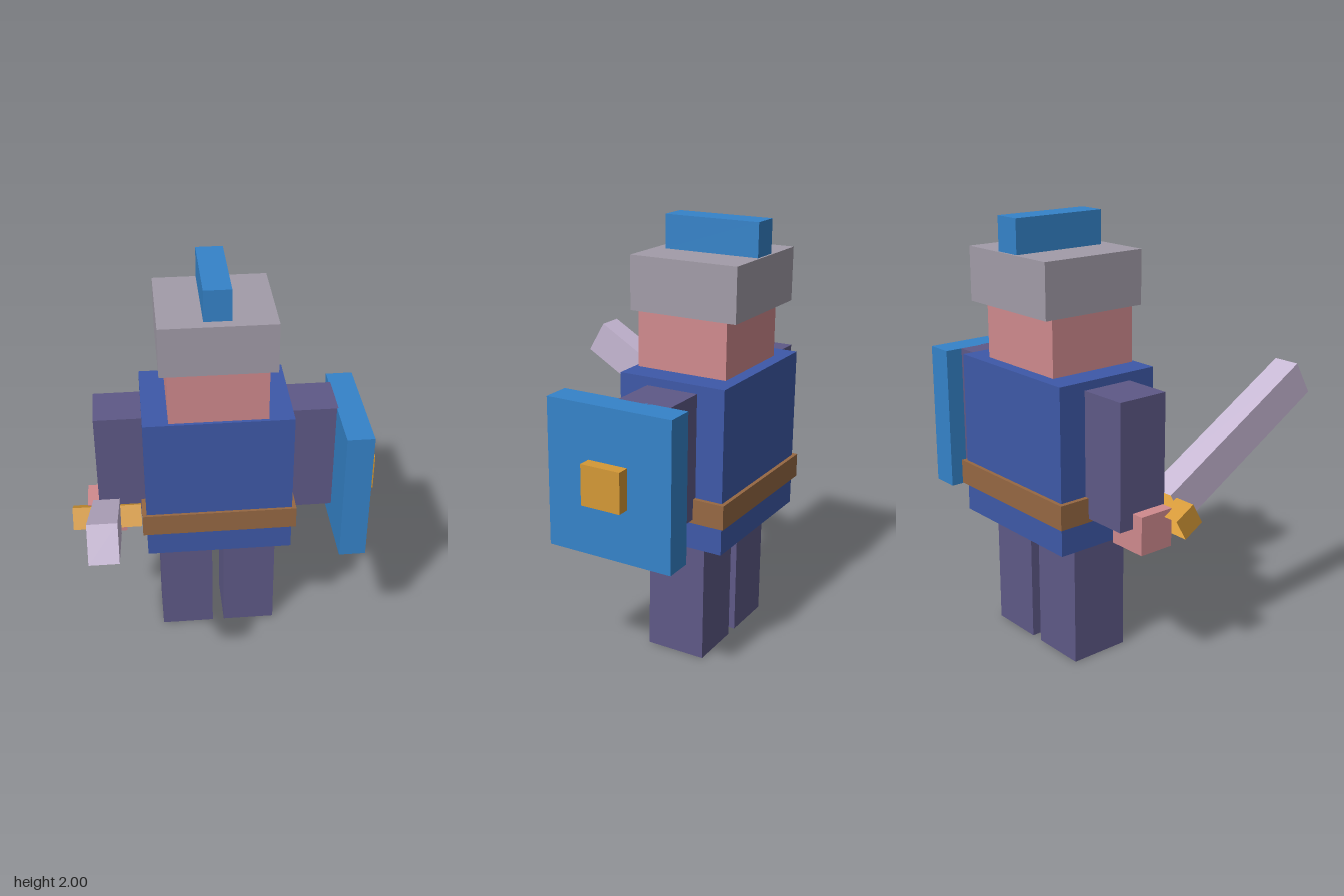
import * as THREE from 'three';

const mat = (name, color) => {
  const m = new THREE.MeshStandardMaterial({ color, side: THREE.DoubleSide });
  m.name = name;
  return m;
};

// Hollow block with no underside, given by its ranges [min, max] on each axis
function block(name, material, [x0, x1], [y0, y1], [z0, z1]) {
  const geo = new THREE.BoxGeometry(x1 - x0, y1 - y0, z1 - z0);
  const index = Array.from(geo.index.array);
  index.splice(18, 6); // drop the -y face
  geo.setIndex(index);
  geo.clearGroups();
  const mesh = new THREE.Mesh(geo, material);
  mesh.name = name;
  mesh.position.set((x0 + x1) / 2, (y0 + y1) / 2, (z0 + z1) / 2);
  return mesh;
}

export function createModel() {
  const tunic = mat('tunicBlue', 0x3e59a8);
  const cloth = mat('clothPurple', 0x5e5987);
  const skin = mat('skinPink', 0xd08a8e);
  const steel = mat('helmetGrey', 0xa29ca8);
  const bright = mat('brightBlue', 0x3583c9);
  const leather = mat('leatherBrown', 0x966843);
  const gold = mat('gold', 0xd49836);
  const blade = mat('bladeLavender', 0xc6b7d3);

  const model = new THREE.Group();
  model.name = 'knight';

  // Body and head
  model.add(
    block('torso', tunic, [-0.387, 0.335], [0.58, 1.34], [-0.622, -0.105]),
    block('belt', leather, [-0.408, 0.356], [0.712, 0.825], [-0.64, -0.09]),
    block('head', skin, [-0.264, 0.212], [1.34, 1.7], [-0.562, -0.122]),
    block('helmet', steel, [-0.301, 0.249], [1.602, 1.847], [-0.622, -0.102]),
    block('helmetCrest', bright, [-0.091, 0.039], [1.847, 2], [-0.612, -0.154]),
  );

  // Legs and arms, mirrored about the body's middle
  const mid = -0.026;
  for (const [side, s] of [['right', -1], ['left', 1]]) {
    const span = (a, b) => [mid + s * a, mid + s * b].sort((p, q) => p - q);
    model.add(
      block(side + 'Leg', cloth, span(0.03, 0.296), [0, 0.58], [-0.504, -0.219]),
      block(side + 'Arm', cloth, span(0.36, 0.592), [0.73, 1.302], [-0.49, -0.242]),
    );
  }
  model.add(block('rightHand', skin, [-0.675, -0.487], [0.625, 0.8], [-0.42, -0.25]));

  // Shield with its boss
  model.add(
    block('shield', bright, [0.558, 0.69], [0.618, 1.302], [-0.574, 0.038]),
    block('shieldBoss', gold, [0.69, 0.75], [0.868, 1.055], [-0.363, -0.17]),
  );

  // Sword, raised thirty degrees to the front
  const sword = new THREE.Group();
  sword.name = 'sword';
  sword.position.set(-0.581, 0.75, -0.217);
  sword.rotation.x = Math.PI / 3;
  sword.add(
    block('swordGuard', gold, [-0.17, 0.17], [-0.055, 0.055], [-0.055, 0.055]),
    block('swordBlade', blade, [-0.066, 0.066], [0.035, 0.937], [-0.087, 0.087]),
  );
  model.add(sword);

  return model;
}
